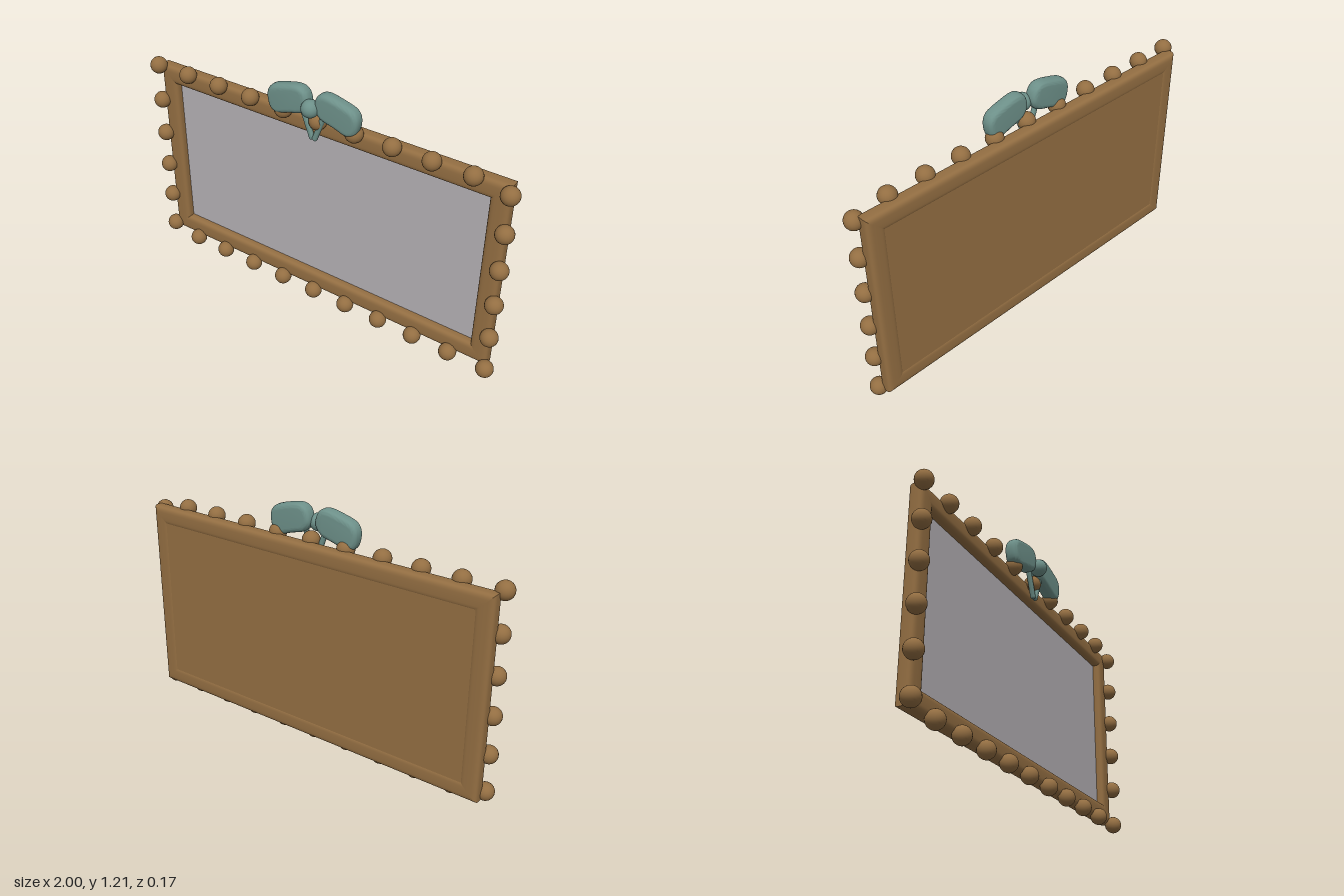
import * as THREE from 'three';
import { toCreasedNormals } from 'three/addons/utils/BufferGeometryUtils.js';
import { RoundedBoxGeometry } from 'three/addons/geometries/RoundedBoxGeometry.js';

const material = (name, color) => {
  const m = new THREE.MeshStandardMaterial({ color });
  m.name = name;
  return m;
};

function addMesh(parent, name, geometry, mat, x = 0, y = 0, z = 0) {
  const mesh = new THREE.Mesh(geometry, mat);
  mesh.name = name;
  mesh.position.set(x, y, z);
  parent.add(mesh);
  return mesh;
}

// One mitred frame bar: a rounded profile swept between two corners
function barGeometry(from, to, halfW, halfH) {
  const N = 32, positions = [], index = [];
  const soft = (v) => Math.sign(v) * Math.pow(Math.abs(v), 0.55);
  for (const [sx, sy] of [from, to]) {
    for (let i = 0; i < N; i++) {
      const t = (i / N) * Math.PI * 2;
      const inset = 0.0465 - 0.0465 * soft(Math.cos(t));
      const z = -0.046 + 0.036 * soft(Math.sin(t));
      positions.push(sx * (halfW - inset), sy * (halfH - inset), z);
    }
  }
  for (let i = 0; i < N; i++) {
    const j = (i + 1) % N;
    index.push(i, i + N, j, j, i + N, j + N);
  }
  const g = new THREE.BufferGeometry();
  g.setAttribute('position', new THREE.Float32BufferAttribute(positions, 3));
  g.setIndex(index);
  g.computeVertexNormals();
  return g;
}

// Soft, pillow-like bow loop; side is +1 or -1
function bowLoopGeometry(side) {
  const outline = [[0.015, 1.13], [0.03, 1.19], [0.065, 1.211], [0.15, 1.198],
    [0.225, 1.17], [0.245, 1.13], [0.23, 1.06], [0.195, 1.04], [0.12, 1.06], [0.045, 1.085]];
  const curve = new THREE.CatmullRomCurve3(
    outline.map(([x, y]) => new THREE.Vector3(x * side, y, 0)), true);
  const shape = new THREE.Shape(curve.getPoints(48).slice(0, -1).map((p) => new THREE.Vector2(p.x, p.y)));
  const g = new THREE.ExtrudeGeometry(shape, {
    depth: 0.018, bevelThickness: 0.025, bevelSize: 0.025, bevelOffset: -0.025, bevelSegments: 6,
  });
  return toCreasedNormals(g, 0.7);
}

export function createModel() {
  const wood = material('brown wood', 0x936e42);
  const slate = material('grey board', 0xb4b0b4);
  const ribbon = material('teal ribbon', 0x6d9089);

  const model = new THREE.Group();
  model.name = 'beadedBoard';
  const halfW = 0.955, halfH = 0.5, midY = 0.55;

  // Frame
  const frame = new THREE.Group();
  frame.name = 'frame';
  frame.position.y = midY;
  model.add(frame);
  const corners = [[-1, -1], [1, -1], [1, 1], [-1, 1]];
  ['bottomBar', 'leftBar', 'topBar', 'rightBar'].forEach((name, i) =>
    addMesh(frame, name, barGeometry(corners[i], corners[(i + 1) % 4], halfW, halfH), wood));

  // Front board and back panel
  addMesh(model, 'board', new THREE.BoxGeometry(1.76, 0.85, 0.008), slate, 0, midY, -0.052);
  addMesh(model, 'backPanel', new THREE.BoxGeometry(1.78, 0.87, 0.02), wood, 0, midY, -0.068);

  // Beads, evenly stepped along each edge
  const beads = new THREE.Group();
  beads.name = 'beads';
  model.add(beads);
  const beadGeometry = new THREE.SphereGeometry(0.043, 24, 16);
  const step = 0.194;
  const bead = (x, y) => addMesh(beads, 'bead', beadGeometry, wood, x, y, 0);
  for (let i = 0; i < 10; i++) {
    bead(-0.957 + i * step, 1.048);
    bead(0.957 - i * step, 0.046);
  }
  for (let i = 1; i < 6; i++) {
    bead(-0.957, 1.048 - i * step);
    bead(0.957, 0.046 + i * step);
  }

  // Bow: loops, tails and knot
  const bow = new THREE.Group();
  bow.name = 'bow';
  model.add(bow);
  for (const side of [1, -1]) {
    const label = side > 0 ? 'left' : 'right';
    addMesh(bow, label + 'Loop', bowLoopGeometry(side), ribbon, 0, 0, 0.004);
    const tail = addMesh(bow, label + 'Tail',
      new RoundedBoxGeometry(0.026, 0.17, 0.024, 3, 0.01), ribbon, side * 0.035, 1.033, 0.016 + side * 0.001);
    tail.rotation.z = -side * 0.36;
  }
  addMesh(bow, 'knot', new THREE.SphereGeometry(0.043, 24, 16), ribbon, 0, 1.125, 0.041);

  return model;
}
